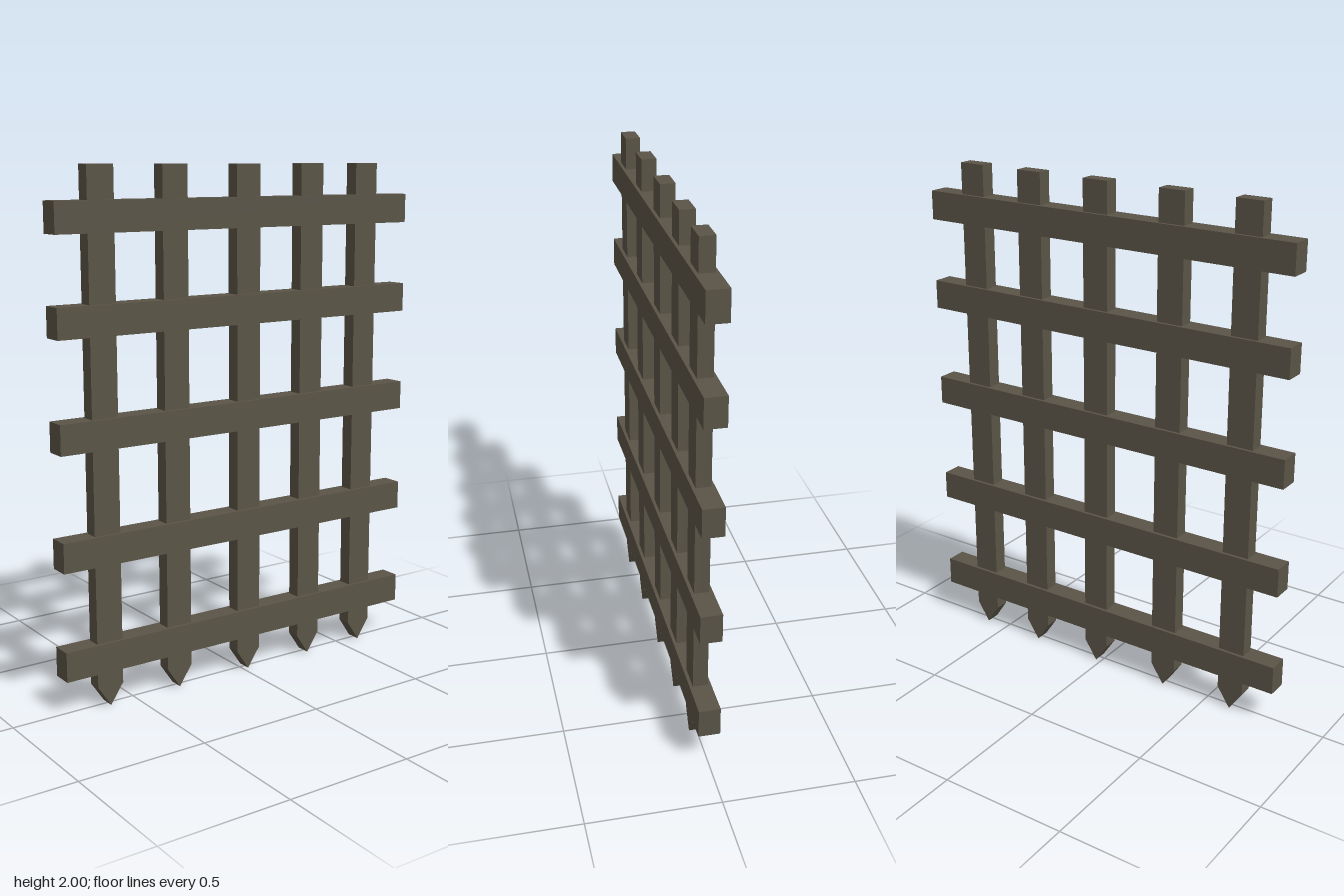
import * as THREE from 'three';

const BAR_WIDTH = 0.107, BAR_DEPTH = 0.057, TIP_HEIGHT = 0.08, HEIGHT = 2;
const RAIL_LENGTH = 1.595, RAIL_HEIGHT = 0.114, RAIL_DEPTH = 0.082;

const BAR_X = [-0.61, -0.303, 0.023, 0.325, 0.598];
const RAIL_Y = [0.195, 0.61, 1.044, 1.456, 1.82];

// Upright bar with a wedge-shaped point at its foot
function barGeometry() {
  const w = BAR_WIDTH / 2;
  const outline = new THREE.Shape([
    new THREE.Vector2(0, 0),
    new THREE.Vector2(w, TIP_HEIGHT),
    new THREE.Vector2(w, HEIGHT),
    new THREE.Vector2(-w, HEIGHT),
    new THREE.Vector2(-w, TIP_HEIGHT),
  ]);
  const geometry = new THREE.ExtrudeGeometry(outline, { depth: BAR_DEPTH, bevelEnabled: false });
  return geometry.translate(0, 0, -BAR_DEPTH / 2);
}

export function createModel() {
  const model = new THREE.Group();
  model.name = 'portcullis';

  const wood = new THREE.MeshStandardMaterial({ color: 0x5a5446 });
  wood.name = 'dark weathered wood';

  // Pointed uprights
  const bar = barGeometry();
  BAR_X.forEach((x, i) => {
    const mesh = new THREE.Mesh(bar, wood);
    mesh.name = `uprightBar${i + 1}`;
    mesh.position.x = x;
    model.add(mesh);
  });

  // Thicker crossing rails
  const rail = new THREE.BoxGeometry(RAIL_LENGTH, RAIL_HEIGHT, RAIL_DEPTH);
  RAIL_Y.forEach((y, i) => {
    const mesh = new THREE.Mesh(rail, wood);
    mesh.name = `crossRail${i + 1}`;
    mesh.position.y = y;
    model.add(mesh);
  });

  return model;
}
